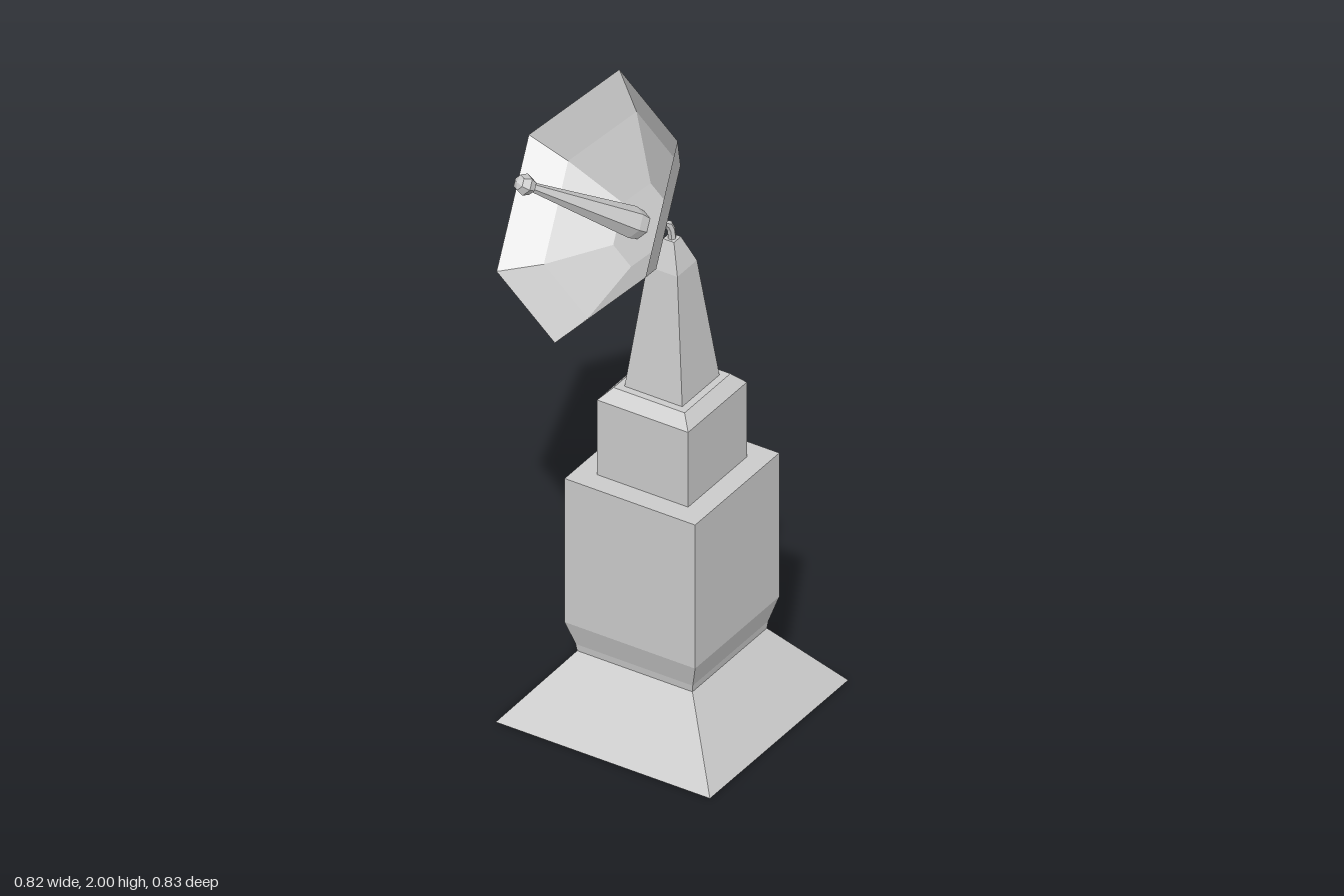
import * as THREE from 'three';

const material = new THREE.MeshStandardMaterial({ color: 0xcccccc, flatShading: true });
const thinMaterial = new THREE.MeshStandardMaterial({ color: 0xcccccc, flatShading: true, side: THREE.DoubleSide });

function part(name, geometry, mat = material) {
  const mesh = new THREE.Mesh(geometry, mat);
  mesh.name = name;
  return mesh;
}

// Stack of [half width or radius, height] rings with a given number of sides
function stack(profile, sides, phase, scale = 1) {
  const points = profile.map(([r, y]) => new THREE.Vector2(r * scale, y));
  return new THREE.LatheGeometry(points, sides, phase);
}
const square = (profile) => stack(profile, 4, Math.PI / 4, Math.SQRT2);
const hexagon = (profile) => stack(profile, 6, Math.PI / 2);

// Six-sided tapered rod between two points
function rod(name, from, to, r0, r1) {
  const dir = to.clone().sub(from);
  const mesh = part(name, new THREE.CylinderGeometry(r1, r0, dir.length(), 6));
  mesh.position.copy(from).add(to).multiplyScalar(0.5);
  mesh.quaternion.setFromUnitVectors(new THREE.Vector3(0, 1, 0), dir.normalize());
  return mesh;
}

export function createModel() {
  const model = new THREE.Group();
  model.name = 'dishTower';

  // Square stepped tower
  const tower = new THREE.Group();
  tower.name = 'tower';
  tower.position.set(0.057, 0, -0.065);
  tower.add(
    part('base', square([[0, 0], [0.353, 0], [0.19, 0.205]])),
    part('lowerBlock', square([[0.19, 0.205], [0.193, 0.228], [0.215, 0.305], [0.215, 0.782], [0, 0.782]])),
    part('upperBlock', square([[0.15, 0.782], [0.15, 1.03], [0.117, 1.065], [0, 1.065]])),
    part('spire', square([[0.095, 1.065], [0.05, 1.455], [0.018, 1.54], [0, 1.54]]))
  );
  model.add(tower);

  // Dish assembly, its local y axis pointing along the aim
  const dish = new THREE.Group();
  dish.name = 'dishAssembly';
  const across = new THREE.Vector3(0.839, 0, 0.543).normalize();
  const aim = new THREE.Vector3(-0.455, 0.547, 0.702).normalize();
  const basis = new THREE.Matrix4().makeBasis(across, aim, across.clone().cross(aim));
  dish.quaternion.setFromRotationMatrix(basis);
  dish.position.set(0.006, 1.608, 0.015);
  dish.add(part('dish', hexagon([[0, 0], [0.12, 0], [0.297, 0.104], [0.393, 0.195]]), thinMaterial));

  // Feed horn with a ball at its tip
  dish.add(part('feedHorn', hexagon([[0, 0], [0.04, 0], [0.046, 0.03], [0.013, 0.4], [0, 0.4]])));
  const ball = part('feedTip', new THREE.SphereGeometry(0.032, 6, 4));
  ball.position.y = 0.42;
  dish.add(ball);
  model.add(dish);

  // Hub behind the dish and bent arm down to the spire
  const hubEnd = new THREE.Vector3(0.043, 1.597, -0.042);
  model.add(rod('hub', dish.position, hubEnd, 0.032, 0.026));
  const bend = new THREE.QuadraticBezierCurve3(
    hubEnd, new THREE.Vector3(0.058, 1.597, -0.066), new THREE.Vector3(0.057, 1.53, -0.065));
  model.add(part('mountArm', new THREE.TubeGeometry(bend, 4, 0.012, 6)));

  return model;
}
